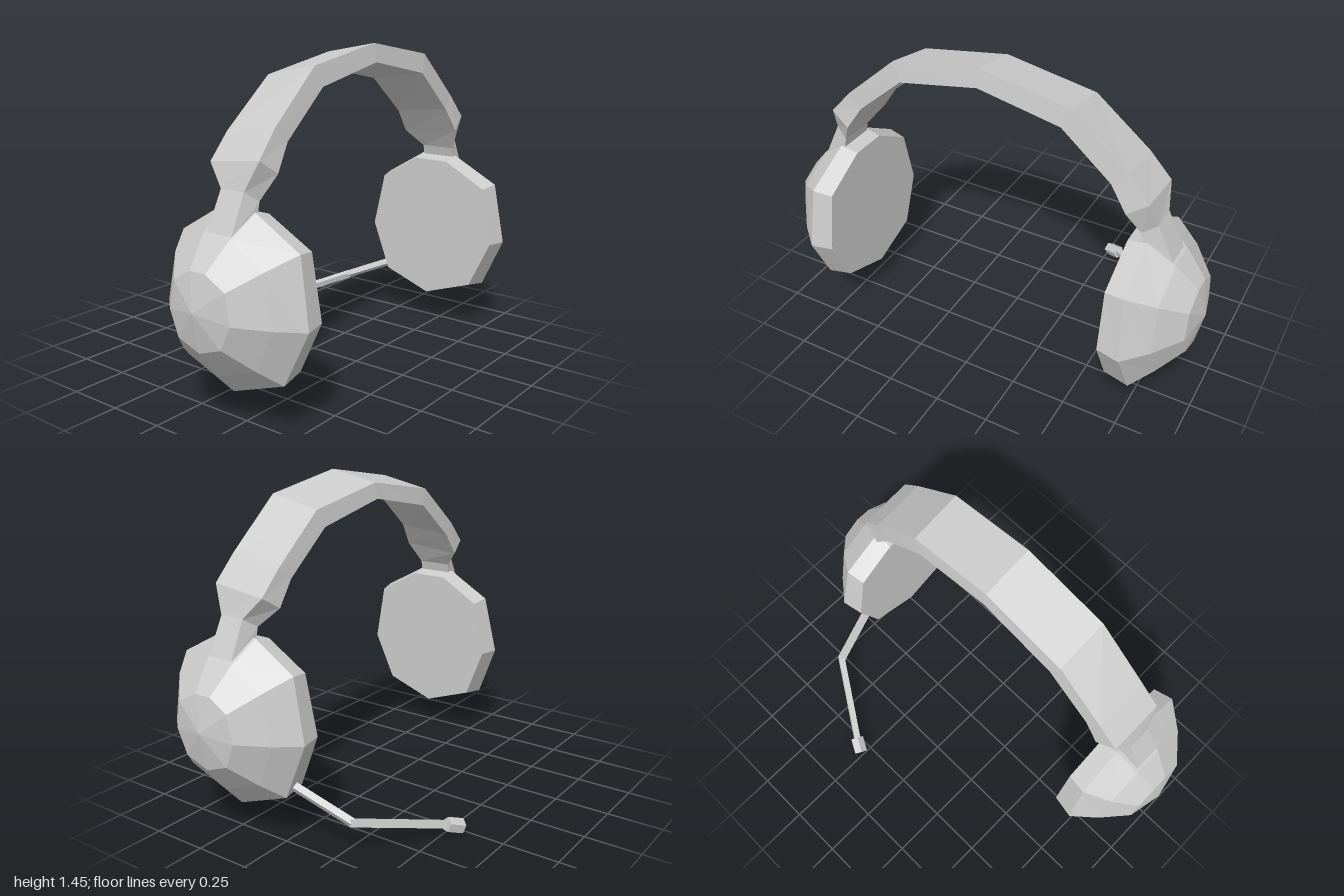
import * as THREE from 'three';

const CX = 0.215, CY = 0.52; // centre of the ear cups
const material = new THREE.MeshStandardMaterial({ color: 0xcccccc, flatShading: true });

// Skin a list of equal-sized rings (counter-clockwise about the travel direction), closed by a fan at each end
function loft(name, rings, startTip, endTip) {
  const n = rings[0].length, index = [];
  const centroid = (r) => [0, 1, 2].map((k) => r.reduce((s, p) => s + p[k], 0) / n);
  const last = rings.length - 1, tipA = rings.length * n, tipB = tipA + 1;
  const points = [...rings.flat(), startTip || centroid(rings[0]), endTip || centroid(rings[last])];
  for (let j = 0; j < n; j++) {
    const k = (j + 1) % n;
    for (let i = 0; i < last; i++) {
      const a = i * n + j, b = i * n + k;
      index.push(a, b, b + n, a, b + n, a + n);
    }
    index.push(tipA, k, j, tipB, last * n + j, last * n + k);
  }
  const geometry = new THREE.BufferGeometry();
  geometry.setAttribute('position', new THREE.Float32BufferAttribute(points.flat(), 3));
  geometry.setIndex(index);
  geometry.computeVertexNormals();
  const mesh = new THREE.Mesh(geometry, material);
  mesh.name = name;
  return mesh;
}

// Nine-sided domed cup with a flat pad facing inward
function earCup(name, side) {
  const outline = [[0.215, 0.135], [0.47, 0.225], [0.58, 0.46], [0.53, 0.745], [0.31, 0.865],
    [0.13, 0.865], [-0.07, 0.745], [-0.13, 0.47], [-0.035, 0.225]];
  const profile = [[0.665, 0.945, 0], [0.765, 1, -0.05], [0.868, 0.755, 0], [0.967, 0.435, 0]]; // z, scale, lean
  const rings = profile.map(([z, s, lean]) => outline.map(([x, y]) =>
    [CX + (x - CX) * s, CY + (y - CY) * s, side * (z + lean * (y - CY))]));
  const tips = [[CX, CY, side * 0.665], [CX, CY, side]];
  if (side < 0) { rings.reverse(); tips.reverse(); }
  return loft(name, rings, ...tips);
}

// Slightly tilted band that narrows to a neck at both ends
function headband() {
  // outer z, outer y, inner z, inner y, outer half width, inner half width, tilt, centre x
  const stations = [
    [0, 1.455, 0, 1.375, 0.12, 0.133, 0.045, 0.203],
    [0.405, 1.388, 0.37, 1.303, 0.12, 0.133, 0.048, 0.203],
    [0.65, 1.175, 0.59, 1.115, 0.123, 0.133, 0.035, 0.204],
    [0.75, 1.065, 0.665, 1.005, 0.125, 0.142, 0.03, 0.21],
    [0.78, 0.945, 0.72, 0.905, 0.058, 0.083, 0, 0.224],
    [0.86, 0.78, 0.75, 0.78, 0.062, 0.083, 0, 0.224],
  ];
  const ring = ([oz, oy, iz, iy, ow, iw, tilt, cx], side) => [
    [cx - iw, iy - tilt * 0.8, side * iz], [cx + iw, iy, side * iz],
    [cx + ow, oy, side * oz], [cx - ow, oy - tilt, side * oz]];
  return loft('headband', [
    ...stations.slice(1).reverse().map((s) => ring(s, -1)),
    ...stations.map((s) => ring(s, 1)),
  ]);
}

// Straight rod between two points
function rod(name, from, to, r0, r1, sides) {
  const a = new THREE.Vector3(...from), b = new THREE.Vector3(...to), dir = b.clone().sub(a);
  const mesh = new THREE.Mesh(new THREE.CylinderGeometry(r1, r0, dir.length(), sides), material);
  mesh.position.copy(a).add(b).multiplyScalar(0.5);
  mesh.quaternion.setFromUnitVectors(new THREE.Vector3(0, 1, 0), dir.normalize());
  mesh.name = name;
  return mesh;
}

export function createModel() {
  const group = new THREE.Group();
  group.name = 'headset';
  group.add(earCup('frontEarCup', 1), earCup('backEarCup', -1), headband());

  // Microphone boom, bent once, with a small capsule at its end
  const elbow = [-0.29, 0.147, -0.675], end = [-0.525, 0.055, -0.315];
  const mic = new THREE.Group();
  mic.name = 'microphone';
  mic.add(
    rod('boomBase', [0.02, 0.285, -0.745], elbow, 0.021, 0.021, 4),
    rod('boomArm', [-0.284, 0.149, -0.685], end, 0.021, 0.021, 4),
    rod('microphoneCapsule', [-0.52, 0.057, -0.325], [-0.555, 0.033, -0.26], 0.033, 0.033, 5),
  );
  group.add(mic);
  return group;
}
